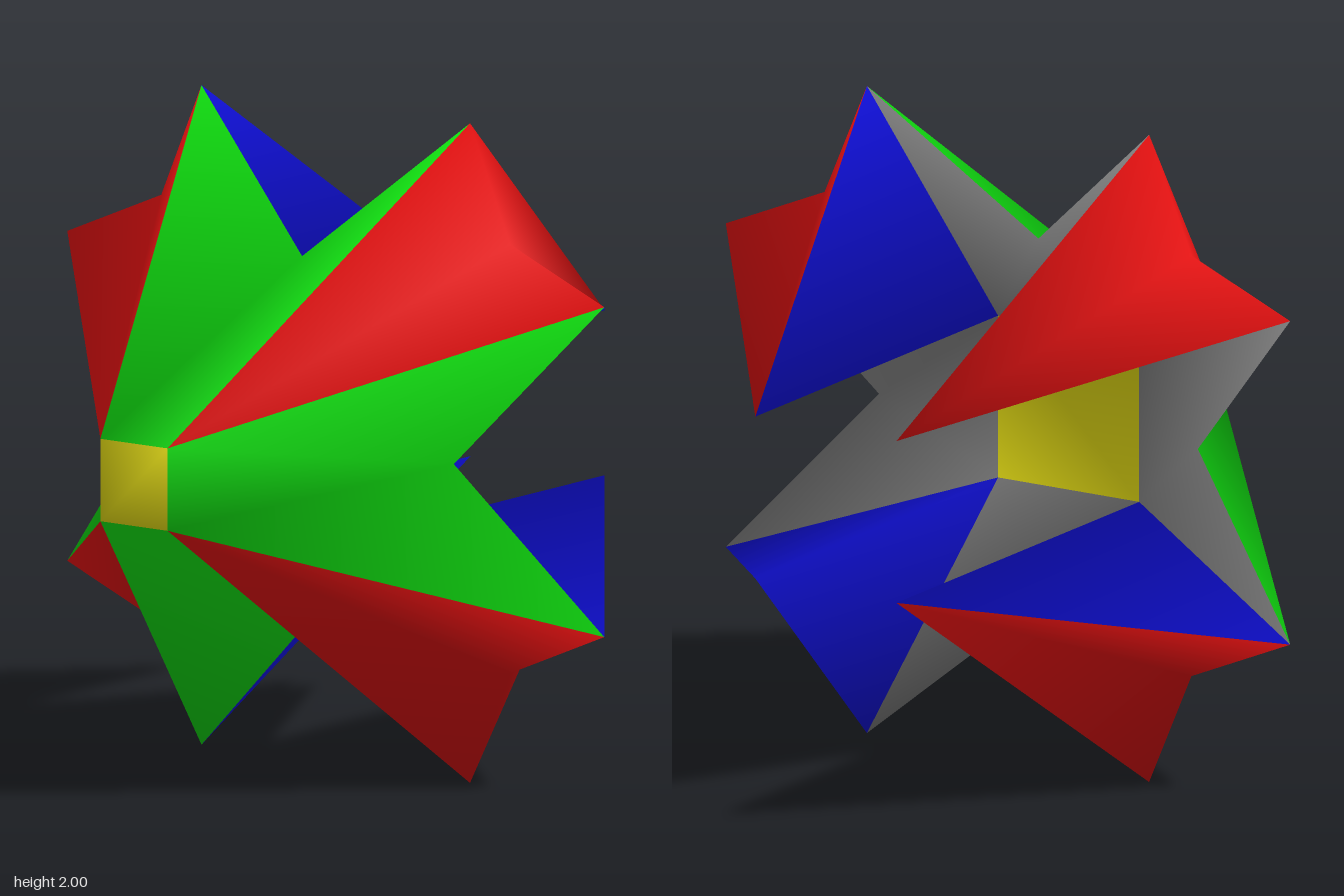
import * as THREE from 'three';

// Corner points of one arm, relative to the centre; repeated four times about z
const ARM = [
  [0.125, 0.125, 1],     // F front square corner
  [0.25, 0.25, 0.333],   // J inner square corner
  [0.25, 0.25, -1],      // B back tip
  [0.65, 0.65, 0],       // N notch between the two outer tips
  [0.5, 1, 0],           // T first outer tip
  [1, 0.5, 0],           // R second outer tip
  [0, 0.565, 0.167],     // G rim notch towards the next arm
];
const [F, J, B, N, T, R, G] = [0, 1, 2, 3, 4, 5, 6];

// Smooth normals, each face weighted by its corner angle
function angleNormals(points, faces) {
  const normals = points.map(() => new THREE.Vector3());
  for (const f of faces) {
    for (let i = 0; i < 3; i++) {
      const p = points[f[i]];
      const u = points[f[(i + 1) % 3]].clone().sub(p);
      const v = points[f[(i + 2) % 3]].clone().sub(p);
      const angle = u.angleTo(v);
      normals[f[i]].addScaledVector(u.cross(v).normalize(), angle);
    }
  }
  return normals.map((n) => n.normalize());
}

export function createModel() {
  const group = new THREE.Group();
  const n = ARM.length;

  const points = [];
  for (let k = 0; k < 4; k++) {
    const c = [1, 0, -1, 0][k], s = [0, 1, 0, -1][k];
    for (const [x, y, z] of ARM) points.push(new THREE.Vector3(x * c - y * s, x * s + y * c + 1, z));
  }

  const parts = {
    armOuterFaces: { color: 0xe01010, material: 'red', faces: [] },
    frontPanels: { color: 0x10e010, material: 'green', faces: [] },
    armInnerFaces: { color: 0x1010e0, material: 'blue', faces: [] },
    innerPanels: { color: 0x808080, material: 'grey', faces: [] },
    centreSquares: { color: 0xe0d812, material: 'yellow', faces: [] },
  };

  for (let k = 0; k < 4; k++) {
    const a = (i) => k * n + i;               // point of this arm
    const b = (i) => ((k + 1) % 4) * n + i;   // point of the next arm
    parts.armOuterFaces.faces.push(
      [a(F), a(N), a(T)], [a(F), a(R), a(N)], [a(B), a(T), a(N)], [a(B), a(N), a(R)]);
    parts.frontPanels.faces.push(
      [b(F), a(F), a(G)], [a(F), a(T), a(G)], [b(F), a(G), b(R)]);
    parts.armInnerFaces.faces.push([a(T), a(B), a(J)], [a(R), a(J), a(B)]);
    parts.innerPanels.faces.push(
      [a(J), b(J), a(G)], [a(J), a(G), a(T)], [b(J), b(R), a(G)]);
  }
  // Front square and the inner square facing the back
  const q = (k, i) => k * n + i;
  parts.centreSquares.faces.push(
    [q(0, F), q(1, F), q(2, F)], [q(0, F), q(2, F), q(3, F)],
    [q(0, J), q(2, J), q(1, J)], [q(0, J), q(3, J), q(2, J)]);

  // All parts share positions and normals so shading flows across them
  const normals = angleNormals(points, Object.values(parts).flatMap((p) => p.faces));
  const flat = (list) => new THREE.Float32BufferAttribute(list.flatMap((v) => v.toArray()), 3);
  const position = flat(points), normal = flat(normals);

  for (const [name, part] of Object.entries(parts)) {
    const geometry = new THREE.BufferGeometry();
    geometry.setAttribute('position', position);
    geometry.setAttribute('normal', normal);
    geometry.setIndex(part.faces.flat());
    const material = new THREE.MeshStandardMaterial({ color: part.color });
    material.name = part.material;
    const mesh = new THREE.Mesh(geometry, material);
    mesh.name = name;
    group.add(mesh);
  }
  return group;
}
